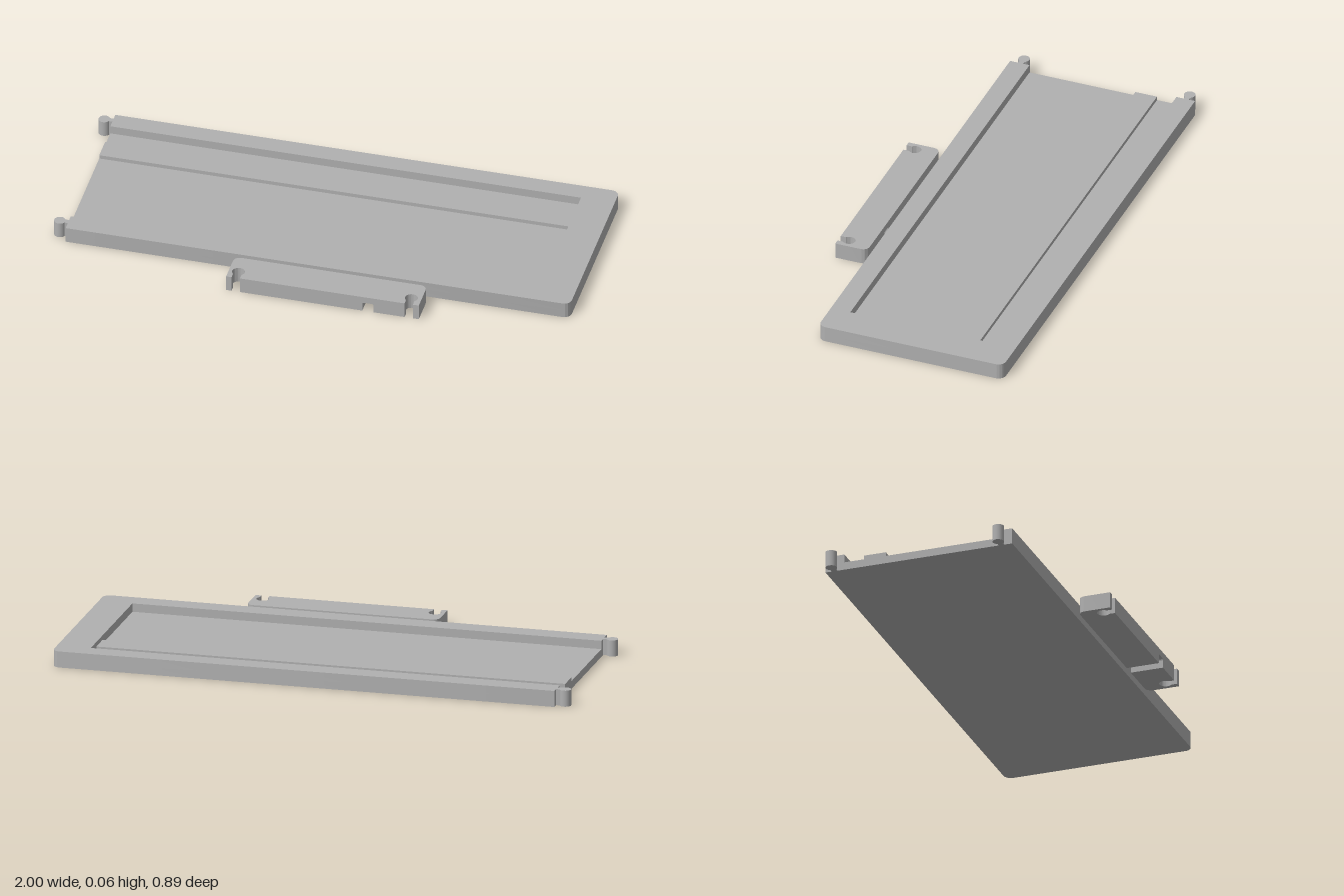
import * as THREE from 'three';
import { toCreasedNormals } from 'three/addons/utils/BufferGeometryUtils.js';

const H = 0.0625;      // full height
const FLOOR = 0.03;    // tray floor level
const LEFT = -0.945, RIGHT = 1, BACK = -0.445, FRONT = 0.298;

export function createModel() {
  const grey = new THREE.MeshStandardMaterial({ color: 0xb0b0b0 });
  grey.name = 'grey';
  const model = new THREE.Group();

  const add = (parent, name, geometry) => {
    const mesh = new THREE.Mesh(geometry, grey);
    mesh.name = name;
    parent.add(mesh);
    return mesh;
  };
  // Upright prism from a plan drawn with shape y = -z
  const prism = (shape, y0, y1) => {
    const g = new THREE.ExtrudeGeometry(shape, { depth: y1 - y0, bevelEnabled: false, curveSegments: 12 });
    g.rotateX(-Math.PI / 2).translate(0, y0, 0);
    return toCreasedNormals(g, 0.6);
  };
  const box = (x0, x1, y0, y1, z0, z1) =>
    new THREE.BoxGeometry(x1 - x0, y1 - y0, z1 - z0)
      .translate((x0 + x1) / 2, (y0 + y1) / 2, (z0 + z1) / 2);

  // Tray outline with rounded corners on the closed end
  const outline = () => {
    const r = 0.03, s = new THREE.Shape();
    s.moveTo(LEFT, -FRONT);
    s.lineTo(RIGHT - r, -FRONT);
    s.absarc(RIGHT - r, -FRONT + r, r, -Math.PI / 2, 0, false);
    s.lineTo(RIGHT, -BACK - r);
    s.absarc(RIGHT - r, -BACK - r, r, 0, Math.PI / 2, false);
    s.lineTo(LEFT, -BACK);
    return s;
  };
  const tray = new THREE.Group();
  tray.name = 'tray';
  model.add(tray);
  add(tray, 'trayFloor', prism(outline(), 0, FLOOR));

  // Raised rim, open at the clip end
  const rim = outline();
  rim.lineTo(LEFT, 0.37);
  rim.lineTo(0.87, 0.37);
  rim.lineTo(0.87, -0.22);
  rim.lineTo(LEFT, -0.22);
  add(tray, 'trayRim', prism(rim, FLOOR, H));

  // Long rib that sets off the rear channel
  add(tray, 'channelRib', box(LEFT, 0.87, FLOOR, 0.045, -0.292, -0.205));

  // Round-headed clips
  for (const z of [-0.41, 0.255]) {
    const clip = new THREE.Group();
    clip.name = 'clip';
    add(clip, 'clipHead', new THREE.CylinderGeometry(0.022, 0.022, H, 24).translate(-0.978, H / 2, z));
    add(clip, 'clipNeck', box(-0.97, LEFT, 0, H, z - 0.01, z + 0.01));
    tray.add(clip);
  }

  // Connector bar: two ends with keyhole sockets, joined over a cable slot
  const bar = new THREE.Group();
  bar.name = 'connectorBar';
  model.add(bar);
  const zBack = 0.317, zFront = 0.445, slot0 = 0.237, slot1 = 0.28, slotTop = 0.037;

  // dir is +1 when the socket end points to -x, -1 when it points to +x
  const barEnd = (outer, inner, socketX, dir) => {
    const r = 0.03, R = 0.024, w = 0.016;
    const a = Math.asin(w / R), zc = 0.405;
    const s = new THREE.Shape();
    s.moveTo(inner, -zBack);
    s.lineTo(outer + dir * r, -zBack);
    s.quadraticCurveTo(outer, -zBack, outer, -zBack - r);
    s.lineTo(outer, -zFront);
    s.lineTo(socketX - dir * w, -zFront);
    for (let i = 0; i <= 24; i++) {
      const t = a + (i / 24) * (2 * Math.PI - 2 * a);
      s.lineTo(socketX - dir * R * Math.sin(t), -zc - R * Math.cos(t));
    }
    s.lineTo(socketX + dir * w, -zFront);
    s.lineTo(inner, -zFront);
    s.closePath();
    return prism(s, 0, H);
  };
  add(bar, 'leftSocketEnd', barEnd(0.455, slot1, 0.416, -1));
  add(bar, 'rightSocketEnd', barEnd(-0.288, slot0, -0.251, 1));

  // Bridge with an arched underside
  const c = 0.008, arch = new THREE.Shape();
  arch.moveTo(slot0, H);
  arch.lineTo(slot0, slotTop - c);
  arch.quadraticCurveTo(slot0, slotTop, slot0 + c, slotTop);
  arch.lineTo(slot1 - c, slotTop);
  arch.quadraticCurveTo(slot1, slotTop, slot1, slotTop - c);
  arch.lineTo(slot1, H);
  arch.closePath();
  const bridge = new THREE.ExtrudeGeometry(arch, { depth: zFront - zBack, bevelEnabled: false, curveSegments: 6 });
  add(bar, 'slotBridge', toCreasedNormals(bridge.translate(0, 0, zBack), 0.6));

  return model;
}
